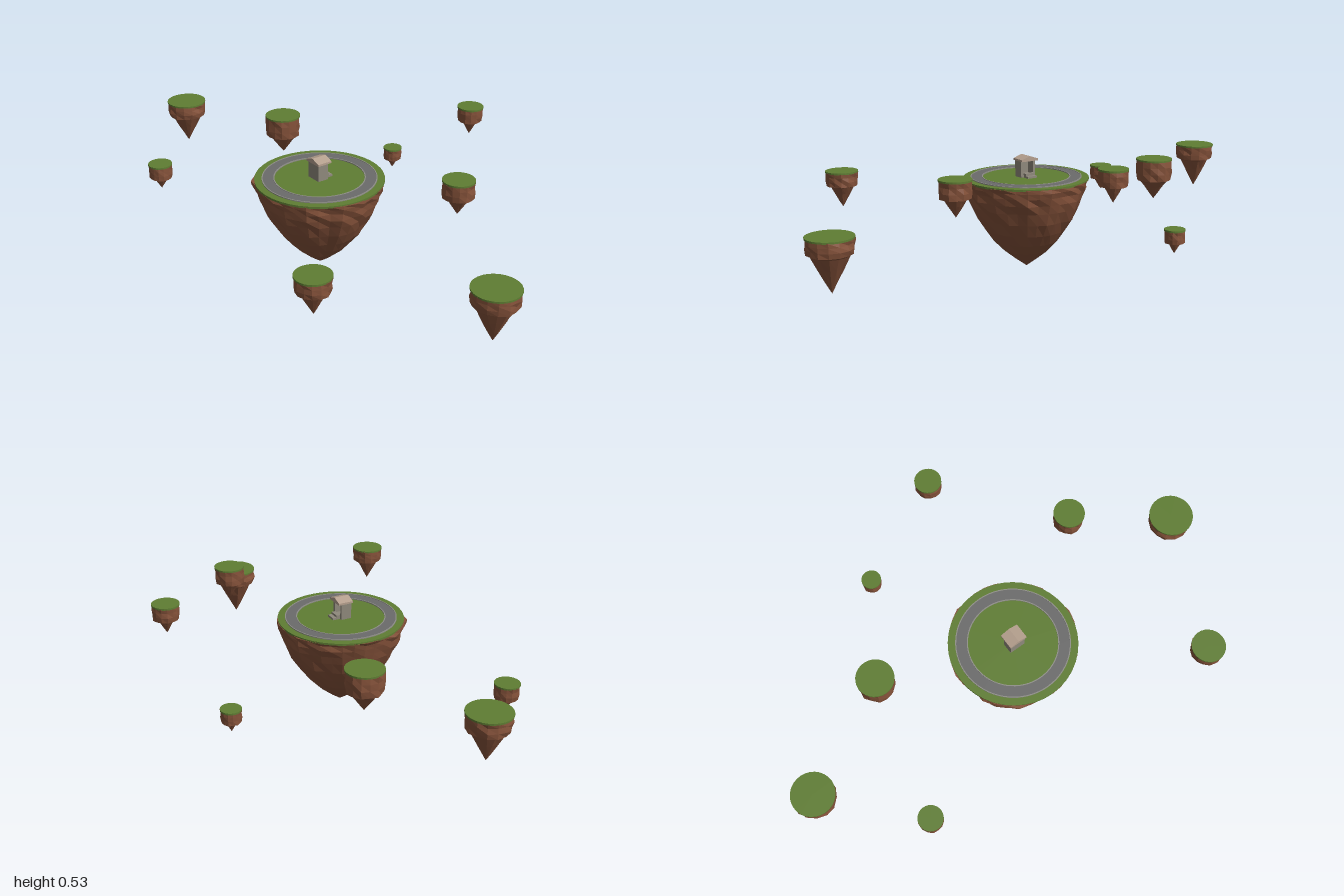
import * as THREE from 'three';

const mat = (color, flat = true) => new THREE.MeshStandardMaterial({ color, flatShading: flat, roughness: 1 });
const rockMat = mat(0x85523a), grassMat = mat(0x5f7d33), roadMat = mat(0x6b6b6b);
const kerbMat = mat(0x8f8f88), stoneMat = mat(0x8f897c), roofMat = mat(0xb5a08e);

// repeatable noise in -1..1
const noise = (a, b, c) => {
  const s = Math.sin(a * 12.9898 + b * 78.233 + c * 37.719) * 43758.5453;
  return (s - Math.floor(s)) * 2 - 1;
};

function add(parent, name, geometry, material, x = 0, y = 0, z = 0) {
  const mesh = new THREE.Mesh(geometry, material);
  mesh.name = name;
  mesh.position.set(x, y, z);
  parent.add(mesh);
  return mesh;
}

// turned rock, roughened per column and per vertex; profile runs from tip to top as [radius, y]
function rockGeometry(profile, segments, rough, ridge, seed) {
  const rows = profile.length;
  const geo = new THREE.LatheGeometry(profile.map(([r, y]) => new THREE.Vector2(r, y)), segments);
  const p = geo.attributes.position;
  for (let i = 0; i < p.count; i++) {
    const row = i % rows, col = Math.floor(i / rows) % segments;
    const [r, y] = profile[row];
    if (r === 0) continue;
    const k = 1 + ridge * noise(col, 1, seed) + rough * noise(col, row + 5, seed);
    const inner = row > 0 && row < rows - 2;
    const dy = inner ? 0.12 * rough * profile[rows - 1][0] * 4 * noise(row, col, seed + 9) : 0;
    p.setXYZ(i, p.getX(i) * k, y + dy, p.getZ(i) * k);
  }
  const flat = geo.toNonIndexed();
  flat.computeVertexNormals();
  return flat;
}

// flat ring with a little height
function ringGeometry(inner, outer, height) {
  const pts = [[inner, 0], [outer, 0], [outer, height], [inner, height], [inner, 0]];
  return new THREE.LatheGeometry(pts.map(([r, y]) => new THREE.Vector2(r, y)), 64);
}

function smallIsland(x, z, r, top, ledge, tip, stem, seed) {
  const g = new THREE.Group();
  g.name = 'smallIsland';
  g.position.set(x, 0, z);
  const at = (t) => tip + (ledge - tip) * t;
  const mid = (t) => ledge + (top - ledge) * t;
  const s = r * stem;
  add(g, 'smallRock', rockGeometry([
    [0, tip], [s * 0.32, at(0.3)], [s * 0.68, at(0.65)], [s, at(0.97)],
    [r * 0.93, mid(0.03)], [r * 0.97, mid(0.35)], [r * 0.96, mid(0.65)], [r * 0.97, top - 0.005], [0, top - 0.005],
  ], 14, 0.045, 0.03, seed), rockMat);
  add(g, 'smallGrass', new THREE.CylinderGeometry(r, r, 0.007, 28), grassMat, 0, top - 0.0035, 0);
  return g;
}

function mainIsland() {
  const g = new THREE.Group();
  g.name = 'mainIsland';
  g.position.set(0.026, 0, 0.105);
  add(g, 'mainRock', rockGeometry([
    [0, 0], [0.045, 0.033], [0.09, 0.07], [0.132, 0.115], [0.168, 0.163], [0.198, 0.215],
    [0.222, 0.265], [0.236, 0.3], [0.243, 0.33], [0.25, 0.352], [0.253, 0.367], [0, 0.367],
  ], 34, 0.025, 0.03, 3), rockMat);
  add(g, 'mainGrass', new THREE.CylinderGeometry(0.252, 0.252, 0.008, 40), grassMat, 0, 0.368, 0);

  // ring road with kerbs
  add(g, 'ringRoad', ringGeometry(0.176, 0.22, 0.003), roadMat, 0, 0.371, 0);
  for (const r of [0.174, 0.219]) add(g, 'kerb', ringGeometry(r, r + 0.004, 0.005), kerbMat, 0, 0.371, 0);

  g.add(shelter());
  return g;
}

// stone hut, open at the back, with a gabled roof and steps
function shelter() {
  const g = new THREE.Group();
  g.name = 'shelter';
  g.position.set(0, 0.371, 0.005);
  const box = (name, w, h, d, x, y, z, m = stoneMat) =>
    add(g, name, new THREE.BoxGeometry(w, h, d), m, x, y + h / 2, z);
  box('frontWall', 0.066, 0.07, 0.008, 0, 0, 0.02);
  for (const s of [-1, 1]) box('sideWall', 0.01, 0.07, 0.044, s * 0.028, 0, 0.002);
  box('floor', 0.05, 0.012, 0.044, 0, 0, 0.002);
  box('upperStep', 0.042, 0.018, 0.016, 0, 0, -0.027);
  box('lowerStep', 0.042, 0.009, 0.016, 0, 0, -0.043);

  const gable = new THREE.Shape();
  gable.moveTo(-0.038, 0.067);
  gable.lineTo(0.038, 0.067);
  gable.lineTo(0.038, 0.075);
  gable.lineTo(0, 0.088);
  gable.lineTo(-0.038, 0.075);
  gable.closePath();
  add(g, 'roof', new THREE.ExtrudeGeometry(gable, { depth: 0.062, bevelEnabled: false }), roofMat, 0, 0, -0.034);
  return g;
}

export function createModel() {
  const model = new THREE.Group();
  model.name = 'floatingIslands';
  model.add(mainIsland());
  // x, z, radius, top, ledge, tip, stem ratio
  const islands = [
    [-0.917, 0.15, 0.083, 0.404, 0.338, 0.214, 0.76],
    [-0.488, -0.077, 0.074, 0.419, 0.328, 0.25, 0.74],
    [-0.616, 0.455, 0.049, 0.291, 0.228, 0.179, 0.58],
    [0.506, -0.171, 0.062, 0.467, 0.395, 0.326, 0.68],
    [0.123, -0.587, 0.053, 0.531, 0.468, 0.411, 0.6],
    [-0.246, -0.491, 0.04, 0.243, 0.188, 0.148, 0.55],
    [0.908, 0.02, 0.09, 0.277, 0.212, 0.065, 0.8],
    [0.619, 0.565, 0.066, 0.387, 0.325, 0.237, 0.7],
  ];
  islands.forEach((a, i) => model.add(smallIsland(...a, i * 3 + 11)));
  return model;
}
